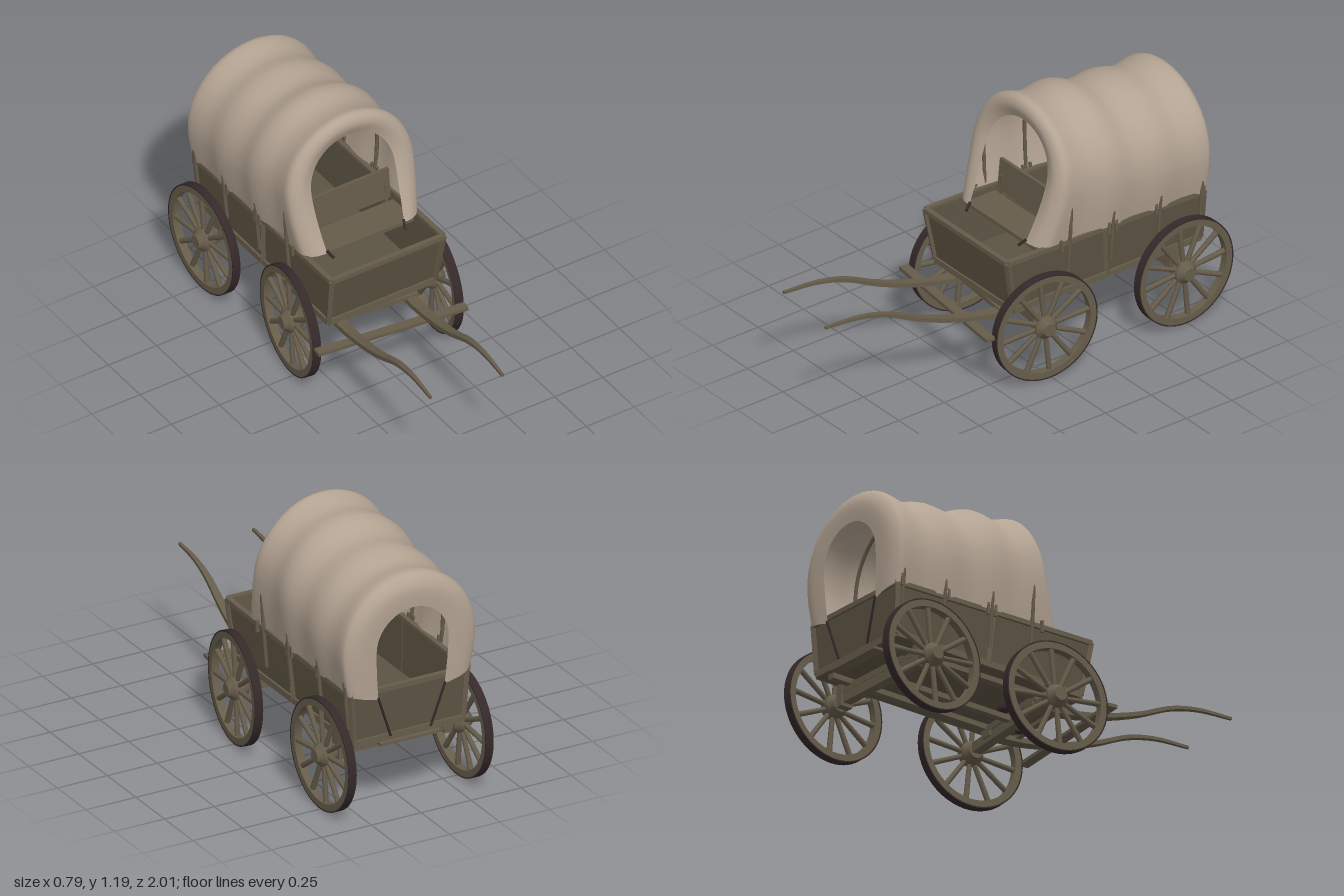
import * as THREE from 'three';
import { toCreasedNormals } from 'three/addons/utils/BufferGeometryUtils.js';

const wood = new THREE.MeshStandardMaterial({ name: 'weathered wood', color: 0x665c4a });
const woodSheet = new THREE.MeshStandardMaterial({ name: 'dark wood panel', color: 0x5c5342 });
const iron = new THREE.MeshStandardMaterial({ name: 'dark iron', color: 0x35292a });
const cloth = new THREE.MeshStandardMaterial({ name: 'canvas', color: 0xb3a392, side: THREE.DoubleSide });

const V = (x, y, z) => new THREE.Vector3(x, y, z);

function add(parent, name, geo, mat, x = 0, y = 0, z = 0) {
  const m = new THREE.Mesh(geo, mat);
  m.name = name;
  m.position.set(x, y, z);
  parent.add(m);
  return m;
}
const box = (p, name, w, h, d, x, y, z, mat = wood) => add(p, name, new THREE.BoxGeometry(w, h, d), mat, x, y, z);

// Square timber running from a to b
function beam(parent, name, a, b, w, h = w, mat = wood) {
  const m = new THREE.Mesh(new THREE.BoxGeometry(w, h, a.distanceTo(b)), mat);
  m.name = name;
  m.position.copy(a).lerp(b, 0.5);
  m.lookAt(b);
  parent.add(m);
}

// Flat slab from four corners, counter-clockwise seen from outside
function slab(parent, name, c, t, mat = woodSheet) {
  const n = c[1].clone().sub(c[0]).cross(c[3].clone().sub(c[0])).normalize().multiplyScalar(-t);
  const p = [...c, ...c.map(v => v.clone().add(n))];
  const quads = [[0, 1, 2, 3], [7, 6, 5, 4], [0, 4, 5, 1], [1, 5, 6, 2], [2, 6, 7, 3], [3, 7, 4, 0]];
  const pts = quads.flatMap(([a, b, d, e]) => [p[a], p[b], p[d], p[a], p[d], p[e]]);
  const g = new THREE.BufferGeometry().setFromPoints(pts);
  g.computeVertexNormals();
  add(parent, name, g, mat);
}

// Ring with a rectangular section, axis along z
function ring(outer, inner, depth) {
  const s = new THREE.Shape().absarc(0, 0, outer, 0, Math.PI * 2);
  s.holes.push(new THREE.Path().absarc(0, 0, inner, 0, Math.PI * 2, true));
  const g = new THREE.ExtrudeGeometry(s, { depth, bevelEnabled: false, curveSegments: 32 });
  return toCreasedNormals(g.translate(0, 0, -depth / 2), 0.6);
}

function wheel(parent, name, x, y, z) {
  const w = new THREE.Group();
  w.name = name;
  w.position.set(x, y, z);
  w.rotation.y = Math.sign(x) * Math.PI / 2;
  add(w, 'tyre', ring(0.258, 0.252, 0.039), iron);
  add(w, 'rim', ring(0.2525, 0.222, 0.037), wood);
  const profile = [[0, -0.05], [0.036, -0.05], [0.054, -0.02], [0.054, 0.018], [0.036, 0.036], [0.03, 0.046], [0, 0.046]];
  const hub = new THREE.LatheGeometry(profile.map(p => new THREE.Vector2(...p)), 20).rotateX(Math.PI / 2);
  add(w, 'hub', toCreasedNormals(hub, 0.5), wood);
  for (let i = 0; i < 12; i++) {
    const g = new THREE.CylinderGeometry(0.013, 0.011, 0.19, 8).translate(0, 0.135, 0);
    add(w, 'spoke', g.rotateZ(i * Math.PI / 6 + 0.1), wood);
  }
  parent.add(w);
}

// Points of one canvas arch: straight lower sides and a round top
function arch(z, w, top, bottom, lean, n = 40) {
  const spring = top - w;
  return Array.from({ length: n + 1 }, (_, i) => {
    const u = i / n, side = u < 0.5 ? 1 : -1, k = Math.min(u, 1 - u) / 0.2;
    let x, y;
    if (k < 1) {
      x = side * w * (0.92 + 0.08 * Math.sin(k * Math.PI / 2));
      y = bottom + (spring - bottom) * k;
    } else {
      const a = (u - 0.2) / 0.6 * Math.PI;
      x = w * Math.cos(a);
      y = spring + w * Math.sin(a);
    }
    const low = Math.max(0, 1 - (y - 0.6) / 0.5);
    return V(x, y, z + lean * low ** 1.6);
  });
}

// Skin between successive arches
function canvasGeometry(rows) {
  const n = rows[0].length, index = [];
  for (let r = 0; r < rows.length - 1; r++)
    for (let i = 0; i < n - 1; i++) {
      const a = r * n + i, b = a + 1, c = a + n, d = c + 1;
      index.push(a, b, c, b, d, c);
    }
  const g = new THREE.BufferGeometry().setFromPoints(rows.flat());
  g.setIndex(index);
  g.computeVertexNormals();
  return g;
}

function buildCover(root) {
  // z, half width, top, bottom, forward lean of the lower edge
  const stations = [
    [-0.125, 0.217, 1.09, 0.612, 0.145], [-0.105, 0.265, 1.14, 0.612, 0.12], [-0.115, 0.308, 1.178, 0.61, 0.105],
    [-0.145, 0.327, 1.193, 0.608, 0.1], [-0.2, 0.32, 1.175, 0.606, 0.07], [-0.27, 0.315, 1.163, 0.604, 0.035],
    [-0.38, 0.335, 1.172, 0.602, 0], [-0.5, 0.318, 1.125, 0.598, 0], [-0.64, 0.333, 1.13, 0.594, 0],
    [-0.76, 0.319, 1.1, 0.59, 0], [-0.87, 0.331, 1.116, 0.586, 0], [-0.91, 0.32, 1.095, 0.584, 0.01],
    [-0.933, 0.265, 1.045, 0.57, 0.015], [-0.932, 0.18, 0.965, 0.55, 0.015]];
  const rows = [];
  const mix = (k, i, t) => {
    const p = j => stations[Math.min(Math.max(j, 0), stations.length - 1)][k];
    const [a, b, c, d] = [p(i - 1), p(i), p(i + 1), p(i + 2)];
    return 0.5 * (2 * b + (c - a) * t + (2 * a - 5 * b + 4 * c - d) * t * t + (3 * b - a - 3 * c + d) * t ** 3);
  };
  for (let s = 0; s <= (stations.length - 1) * 3; s++) {
    const i = Math.min(Math.floor(s / 3), stations.length - 2), t = s / 3 - i;
    rows.push(arch(...[0, 1, 2, 3, 4].map(k => mix(k, i, t))));
  }
  add(root, 'canvasCover', canvasGeometry(rows), cloth);

  // Bows under the canvas, with cleats on the box sides
  for (const [z, w, top] of [[-0.15, 0.312, 1.175], [-0.38, 0.318, 1.152], [-0.64, 0.316, 1.11], [-0.87, 0.314, 1.096]]) {
    const path = new THREE.CatmullRomCurve3(arch(z, w, top, 0.42, 0, 24));
    add(root, 'bow', new THREE.TubeGeometry(path, 40, 0.009, 6), wood);
  }
  for (const s of [-1, 1]) {
    for (const z of [-0.1, -0.36, -0.4, -0.62, -0.88]) box(root, 'cleat', 0.014, 0.055, 0.012, s * 0.306, 0.6, z);
    beam(root, 'frontTie', V(s * 0.2, 0.625, 0.01), V(s * 0.185, 0.6, 0.045), 0.01, 0.01, iron);
    beam(root, 'rearTie', V(s * 0.168, 0.56, -0.918), V(s * 0.1, 0.36, -0.908), 0.008, 0.008, iron);
  }
}

function buildBox(root) {
  const B = s => [V(s * 0.275, 0.35, 0.14), V(s * 0.275, 0.35, -0.885)];
  const T = s => [V(s * 0.291, 0.607, 0.185), V(s * 0.291, 0.586, -0.892)];
  const [[rbf, rbb], [lbf, lbb], [rtf, rtb], [ltf, ltb]] = [B(-1), B(1), T(-1), T(1)];
  slab(root, 'leftWall', [lbf, lbb, ltb, ltf], 0.014);
  slab(root, 'rightWall', [rbb, rbf, rtf, rtb], 0.014);
  slab(root, 'frontWall', [rbf, lbf, ltf, rtf], 0.014);
  slab(root, 'tailgate', [lbb, rbb, rtb, ltb], 0.014);
  box(root, 'floor', 0.555, 0.02, 1.03, 0, 0.345, -0.373, woodSheet);
  // Rails and posts framing each wall
  for (const [b0, b1, t0, t1] of [[lbf, lbb, ltf, ltb], [rbf, rbb, rtf, rtb], [rbf, lbf, rtf, ltf], [rbb, lbb, rtb, ltb]]) {
    beam(root, 'topRail', t0, t1, 0.024, 0.022);
    beam(root, 'bottomRail', b0, b1, 0.022, 0.03);
    for (const f of b0.x * b1.x > 0 ? [0, 0.5, 1] : [0, 1])
      beam(root, 'post', b0.clone().lerp(b1, f), t0.clone().lerp(t1, f), 0.022);
  }
  // Bench
  box(root, 'seat', 0.54, 0.018, 0.16, 0, 0.575, -0.1);
  const back = box(root, 'seatBack', 0.52, 0.15, 0.016, 0, 0.67, -0.2);
  back.rotation.x = -0.1;
  for (const s of [-1, 1]) box(root, 'seatBracket', 0.018, 0.14, 0.025, s * 0.24, 0.6, -0.2);
}

function buildRunningGear(root) {
  // Sills, rear axle and reach pole
  for (const s of [-1, 1]) {
    box(root, 'sill', 0.035, 0.03, 0.98, s * 0.2, 0.325, -0.38);
    box(root, 'rearBlock', 0.036, 0.11, 0.06, s * 0.265, 0.285, -0.743);
    wheel(root, s > 0 ? 'rearLeftWheel' : 'rearRightWheel', s * 0.343, 0.26, -0.743);
  }
  box(root, 'rearAxle', 0.64, 0.045, 0.045, 0, 0.268, -0.743);
  box(root, 'rearBolster', 0.5, 0.03, 0.05, 0, 0.305, -0.743);
  box(root, 'reachPole', 0.03, 0.025, 0.75, 0, 0.285, -0.38);
  box(root, 'rearStep', 0.3, 0.012, 0.06, 0, 0.325, -0.88);

  // Steered front assembly, turned slightly
  const front = new THREE.Group();
  front.name = 'frontCarriage';
  front.position.z = -0.017;
  front.rotation.y = -0.112;
  root.add(front);
  box(front, 'frontAxle', 0.64, 0.045, 0.045, 0, 0.268, 0);
  box(front, 'frontBolster', 0.44, 0.028, 0.05, 0, 0.308, 0);
  add(front, 'turntable', new THREE.CylinderGeometry(0.07, 0.07, 0.02, 20), iron, 0, 0.328, 0);
  add(front, 'kingPin', new THREE.CylinderGeometry(0.008, 0.008, 0.1, 8), iron, 0, 0.285, 0.03);
  add(front, 'pinHead', new THREE.CylinderGeometry(0.017, 0.017, 0.008, 10), iron, 0, 0.238, 0.03);
  box(front, 'crossbar', 0.73, 0.016, 0.045, 0, 0.285, 0.285);
  box(front, 'braceBar', 0.42, 0.02, 0.025, 0, 0.295, 0.12);
  for (const s of [-1, 1]) {
    wheel(front, s > 0 ? 'frontLeftWheel' : 'frontRightWheel', s * 0.347, 0.26, 0);
    // Curved shaft, tapering to its tip
    const path = new THREE.CatmullRomCurve3([V(0, 0.28, -0.03), V(0, 0.285, 0.15), V(0, 0.315, 0.33),
      V(0, 0.375, 0.53), V(0, 0.447, 0.7), V(0, 0.475, 0.84), V(0, 0.476, 1.012)]);
    const geo = new THREE.BoxGeometry(1, 1, 1, 1, 1, 28), p = geo.attributes.position;
    for (let i = 0; i < p.count; i++) {
      const t = p.getZ(i) + 0.5, c = path.getPoint(t), d = path.getTangent(t);
      const w = 0.062 - 0.05 * t, h = p.getY(i) * (0.026 - 0.014 * t);
      p.setXYZ(i, p.getX(i) * w, c.y + h * d.z, c.z - h * d.y);
    }
    geo.computeVertexNormals();
    add(front, 'shaft', geo, wood, s * 0.175, 0, 0);
  }
}

export function createModel() {
  const root = new THREE.Group();
  root.name = 'coveredWagon';
  buildBox(root);
  buildCover(root);
  buildRunningGear(root);
  return root;
}
